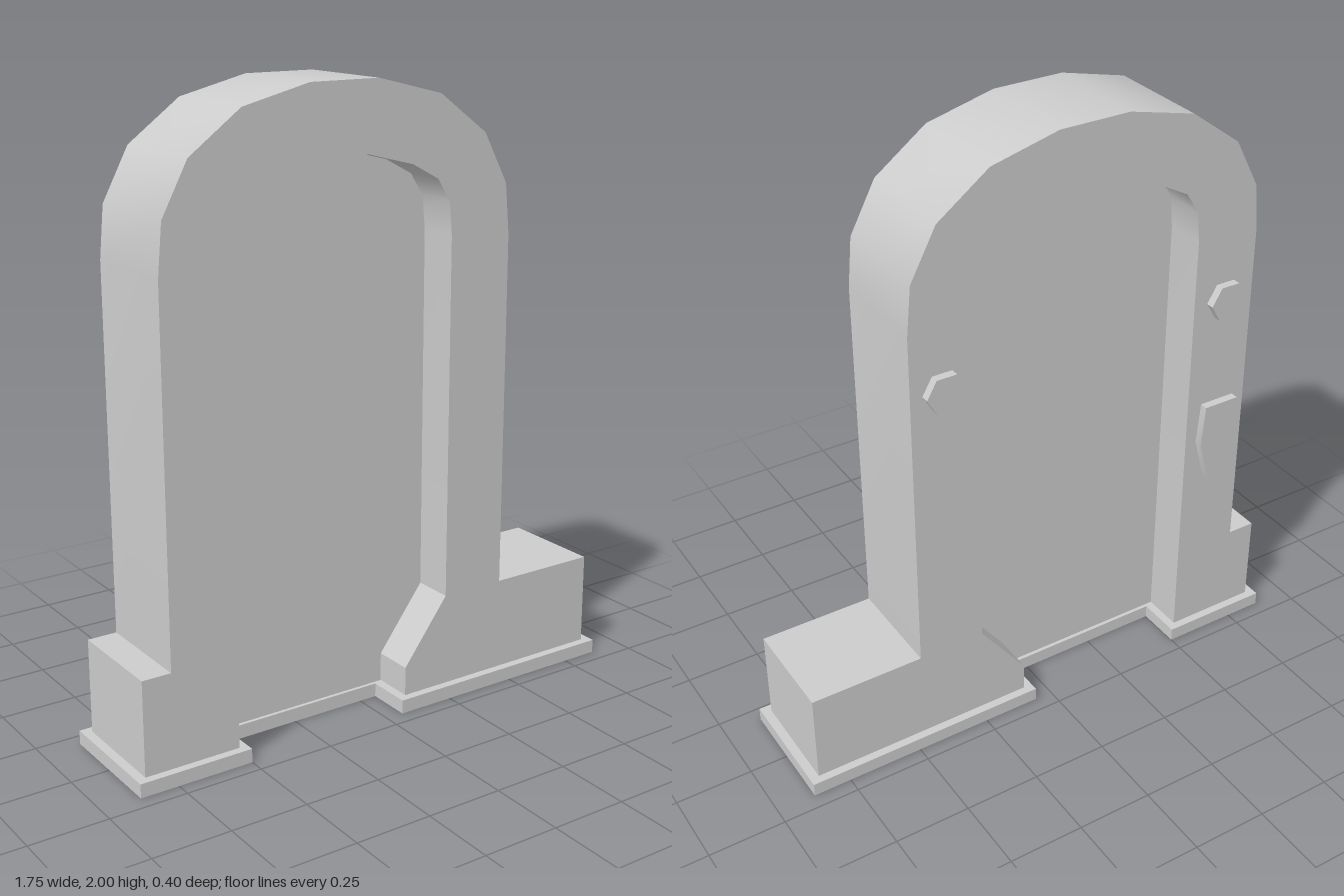
import * as THREE from 'three';
import { toCreasedNormals } from 'three/addons/utils/BufferGeometryUtils.js';

const CENTRE = -0.14; // axis of the arch
const material = new THREE.MeshStandardMaterial({ color: 0xcccccc });

// Mirror half an arch (half-width, height), giving points from left foot to right foot
function arch(half) {
  const left = half.map(([w, y]) => [CENTRE - w, y]);
  const right = half.map(([w, y]) => [CENTRE + w, y]).reverse();
  return [...left, ...right];
}

// Extrude a closed outline between two depths, keeping corners sharp and curves smooth
function slab(name, points, z0, z1) {
  const shape = new THREE.Shape(points.map(([x, y]) => new THREE.Vector2(x, y)));
  const geometry = new THREE.ExtrudeGeometry(shape, { depth: z1 - z0, bevelEnabled: false });
  geometry.translate(0, 0, z0);
  const mesh = new THREE.Mesh(toCreasedNormals(geometry, 0.6), material);
  mesh.name = name;
  return mesh;
}

function block(name, x0, x1, y0, y1, depth) {
  const mesh = new THREE.Mesh(new THREE.BoxGeometry(x1 - x0, y1 - y0, depth), material);
  mesh.position.set((x0 + x1) / 2, (y0 + y1) / 2, 0);
  mesh.name = name;
  return mesh;
}

export function createModel() {
  const model = new THREE.Group();
  model.name = 'archedDoorway';

  const outer = arch([[0.61, 0.35], [0.61, 1.5], [0.595, 1.66], [0.51, 1.82], [0.34, 1.945], [0.117, 2]]);
  const inner = arch([[0.388, 1.52], [0.378, 1.625], [0.333, 1.695], [0.24, 1.745], [0.083, 1.785]]);

  // Frame: arch with stepped feet, open at the bottom
  const opening = [[-0.528, 0.045], ...inner, [0.248, 0.35], [0.09, 0.14], [0.09, 0.045]];
  const frame = [
    [-0.845, 0.045], [-0.845, 0.35], ...outer, [0.845, 0.35], [0.845, 0.045],
    ...opening.slice().reverse(),
  ];
  model.add(slab('frame', frame, -0.173, 0.173));

  // Recessed door panel and the sill below it
  model.add(slab('doorPanel', opening, -0.038, 0.038));
  model.add(block('sill', -0.5, 0.06, 0, 0.045, 0.1));

  // Plinths under the two feet
  model.add(block('rightPlinth', -0.875, -0.5, 0, 0.045, 0.4));
  model.add(block('leftPlinth', 0.06, 0.875, 0, 0.045, 0.4));

  // Hexagonal bolts on the back
  for (const [name, x] of [['rightBolt', -0.643], ['leftBolt', 0.364]]) {
    const hexagon = [];
    for (let i = 0; i < 6; i++) {
      const a = (i * Math.PI) / 3;
      hexagon.push([x + 0.066 * Math.cos(a), 1.298 + 0.066 * Math.sin(a)]);
    }
    model.add(slab(name, hexagon, -0.2, -0.17));
  }

  // Tapered plate on the back
  const plate = [];
  for (const [w, y] of [[0.062, 0.93], [0.074, 0.79], [0.037, 0.65]]) {
    plate.unshift([-0.643 - w, y]);
    plate.push([-0.643 + w, y]);
  }
  model.add(slab('backPlate', plate, -0.2, -0.17));

  return model;
}
